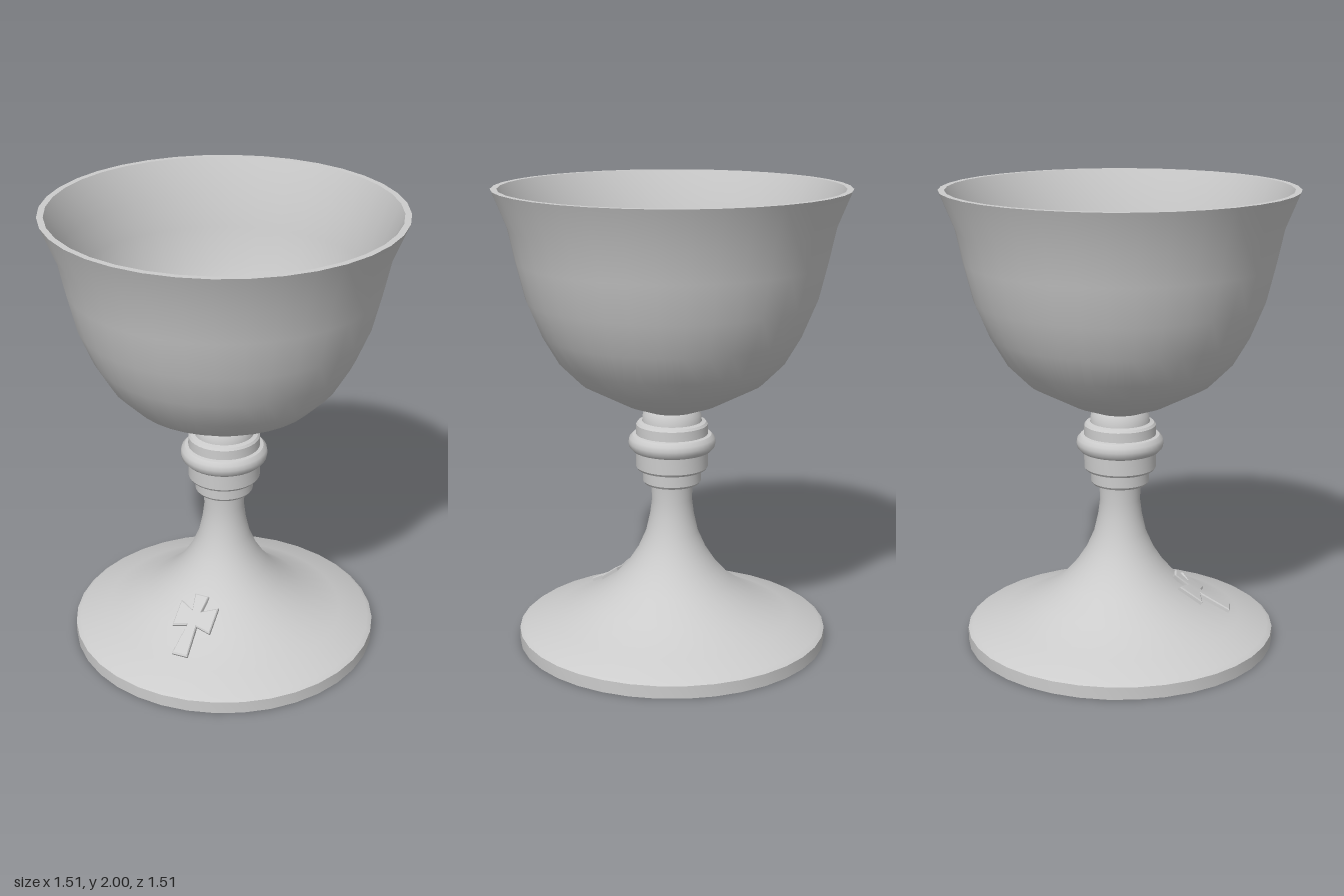
import * as THREE from 'three';
import { toCreasedNormals } from 'three/addons/utils/BufferGeometryUtils.js';

const material = new THREE.MeshStandardMaterial({ color: 0xcccccc });

// Outer slope of the foot, as [radius, height]
const footSlope = [
  [0.68, 0.055], [0.66, 0.07], [0.53, 0.105], [0.37, 0.185], [0.26, 0.265], [0.195, 0.34],
  [0.15, 0.41], [0.115, 0.49], [0.097, 0.57], [0.088, 0.64], [0.092, 0.72],
];

function part(name, geometry, crease) {
  const mesh = new THREE.Mesh(toCreasedNormals(geometry, crease), material);
  mesh.name = name;
  return mesh;
}

// Turned part from a [radius, height] profile
function turned(name, profile, crease) {
  const points = profile.map(([r, y]) => new THREE.Vector2(r, y));
  return part(name, new THREE.LatheGeometry(points, 36), crease);
}

// Radius of the foot at a given height
function footRadius(y) {
  const i = Math.max(1, footSlope.findIndex((p) => p[1] >= y));
  const [r0, y0] = footSlope[i - 1];
  const [r1, y1] = footSlope[i];
  return r0 + ((r1 - r0) * (y - y0)) / (y1 - y0);
}

// Flared cross, extruded and laid onto the slope of the foot
function crossOrnament() {
  const half = [
    [0.028, 0.283], [0.018, 0.235], [0.085, 0.249], [0.085, 0.187], [0.018, 0.2], [0.032, 0.13],
  ];
  const outline = [...half, ...half.map(([x, y]) => [-x, y]).reverse()];
  const shape = new THREE.Shape(outline.map(([x, y]) => new THREE.Vector2(x, y)));
  const geometry = new THREE.ExtrudeGeometry(shape, {
    depth: 0.03, bevelThickness: 0.005, bevelSize: 0.004, bevelSegments: 1,
  });
  const position = geometry.attributes.position;
  for (let i = 0; i < position.count; i++) {
    const x = position.getX(i);
    const y = position.getY(i);
    const lift = position.getZ(i) - 0.018;
    const z = Math.sqrt(footRadius(y) ** 2 - x * x);
    position.setXYZ(i, x, y + lift * 0.83, z + lift * 0.55);
  }
  return part('crossOrnament', geometry, 0.5);
}

export function createModel() {
  const group = new THREE.Group();
  group.name = 'chalice';

  // Foot flowing up into the stem
  group.add(turned('footAndStem', [[0, 0], [0.68, 0], ...footSlope], 0.7));
  group.add(crossOrnament());

  // Stepped knop with a rounded middle ring
  group.add(turned('knop', [
    [0.08, 0.715], [0.12, 0.715], [0.127, 0.725], [0.127, 0.775], [0.15, 0.78], [0.157, 0.79],
    [0.157, 0.86], [0.172, 0.865], [0.186, 0.88], [0.19, 0.9], [0.186, 0.92], [0.172, 0.935],
    [0.157, 0.938], [0.156, 0.98], [0.148, 0.99], [0.13, 0.995], [0.127, 1.025], [0.115, 1.045],
  ], 0.6));

  // Open bowl: outside, flat rim, then inside
  group.add(turned('bowl', [
    [0, 1.035], [0.1, 1.04], [0.21, 1.08], [0.4, 1.18], [0.49, 1.27], [0.56, 1.39], [0.62, 1.535],
    [0.66, 1.7], [0.69, 1.84], [0.755, 2], [0.728, 2], [0.664, 1.845], [0.633, 1.705],
    [0.593, 1.545], [0.535, 1.405], [0.468, 1.29], [0.385, 1.207], [0.2, 1.11], [0.1, 1.072],
    [0, 1.065],
  ], 0.7));

  return group;
}
